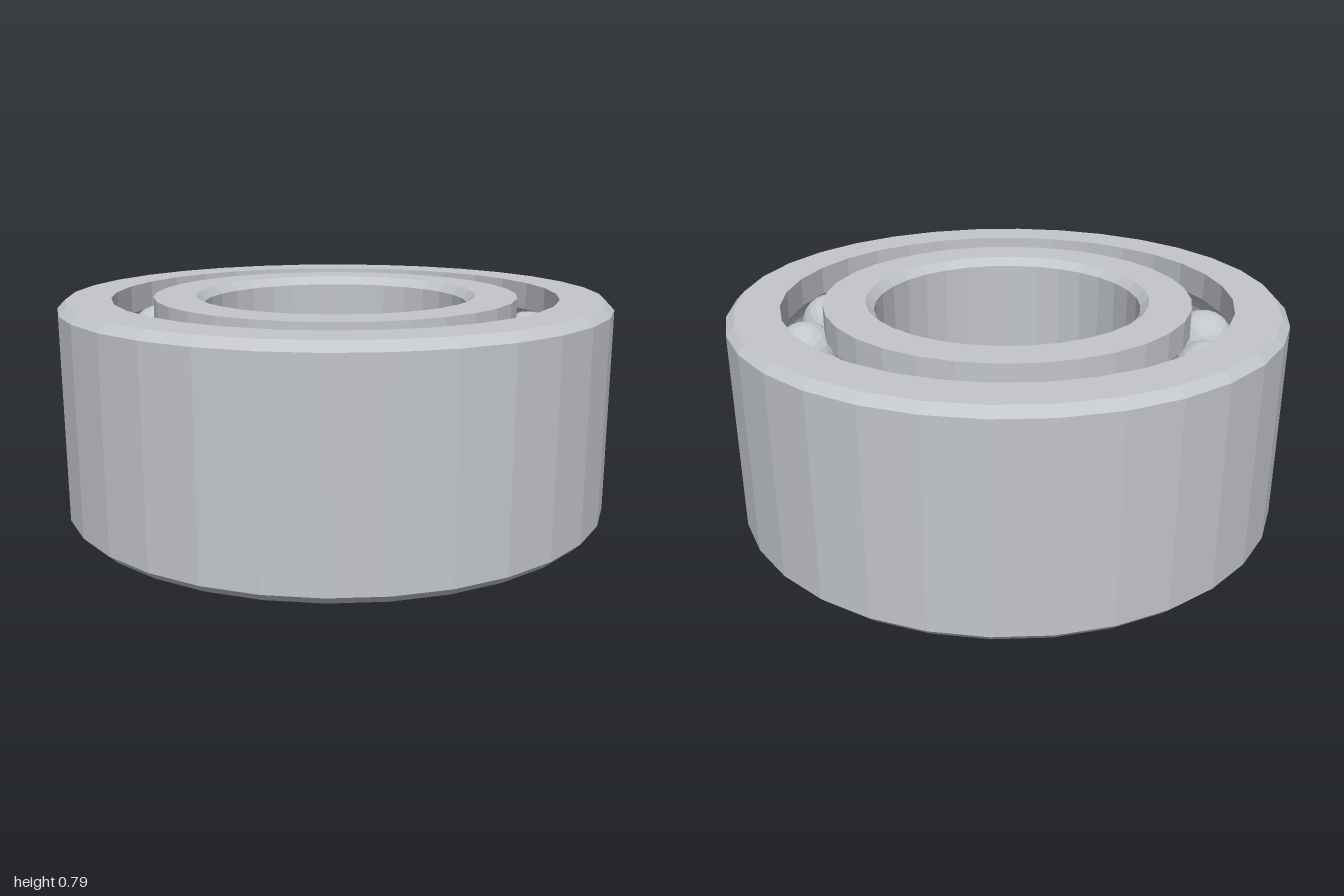
import * as THREE from 'three';

const HEIGHT = 0.79, CHAMFER = 0.03, SIDES = 32;
const PITCH = 0.738, BALL_RADIUS = 0.116, GROOVE_RADIUS = 0.119, BALLS = 14;
const ROWS = [HEIGHT * 0.25, HEIGHT * 0.75];

// Points of the two ball grooves cut into a wall of radius r, from bottom to top
function grooves(r) {
  const side = Math.sign(r - PITCH), steps = 8, points = [];
  const half = Math.acos(Math.abs(r - PITCH) / GROOVE_RADIUS);
  for (const y of ROWS) {
    for (let i = 0; i <= steps; i++) {
      const a = -half + (2 * half * i) / steps;
      points.push([PITCH + side * GROOVE_RADIUS * Math.cos(a), y + GROOVE_RADIUS * Math.sin(a)]);
    }
  }
  return points;
}

// Faceted ring turned from a closed profile
function ring(name, profile, material) {
  const points = profile.map(([r, y]) => new THREE.Vector2(r, y));
  const mesh = new THREE.Mesh(new THREE.LatheGeometry(points, SIDES), material);
  mesh.name = name;
  return mesh;
}

export function createModel() {
  const model = new THREE.Group();
  model.name = 'ballBearing';
  const steel = new THREE.MeshStandardMaterial({ color: 0xc3c6cc });
  steel.name = 'steel';
  steel.flatShading = true;

  // Outer ring: chamfered outside, grooved inside
  const outer = 1, race = 0.812;
  model.add(ring('outerRing', [
    [outer - CHAMFER, 0], [outer, CHAMFER], [outer, HEIGHT - CHAMFER], [outer - CHAMFER, HEIGHT],
    [race, HEIGHT], ...grooves(race).reverse(), [race, 0], [outer - CHAMFER, 0],
  ], steel));

  // Inner ring: grooved outside, chamfered bore
  const bore = 0.483, hub = 0.664;
  model.add(ring('innerRing', [
    [bore + CHAMFER, 0], [hub, 0], ...grooves(hub), [hub, HEIGHT], [bore + CHAMFER, HEIGHT],
    [bore, HEIGHT - CHAMFER], [bore, CHAMFER], [bore + CHAMFER, 0],
  ], steel));

  // Two rows of balls
  const ballGeometry = new THREE.IcosahedronGeometry(BALL_RADIUS, 3);
  ROWS.forEach((y, row) => {
    const group = new THREE.Group();
    group.name = row ? 'upperBalls' : 'lowerBalls';
    for (let i = 0; i < BALLS; i++) {
      const a = (i / BALLS) * Math.PI * 2;
      const ball = new THREE.Mesh(ballGeometry, steel);
      ball.name = 'ball';
      ball.position.set(PITCH * Math.cos(a), y, PITCH * Math.sin(a));
      ball.rotation.y = -a;
      group.add(ball);
    }
    model.add(group);
  });
  return model;
}
